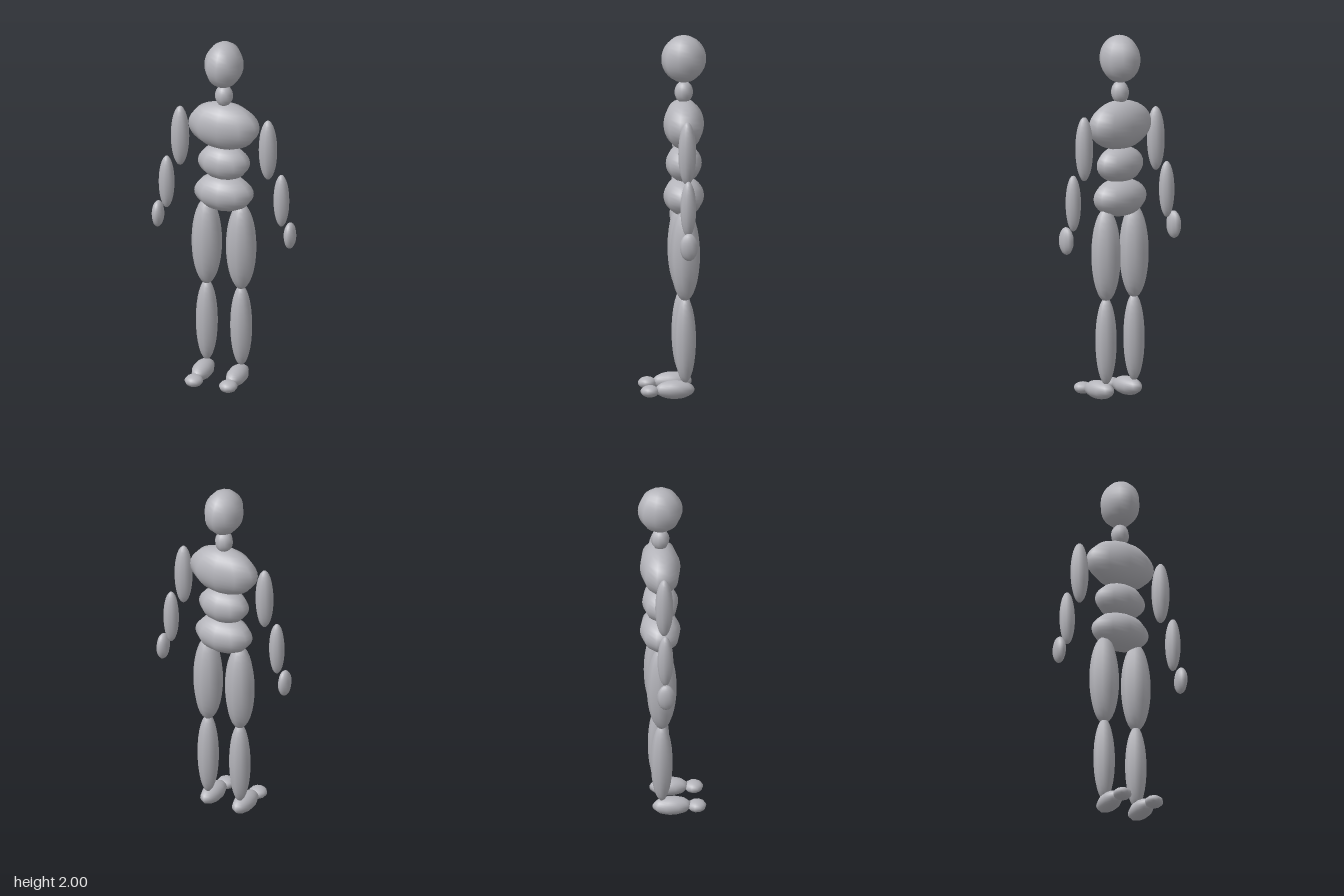
import * as THREE from 'three';

const Z = -0.06; // depth of the body's centre line

export function createModel() {
  const model = new THREE.Group();
  model.name = 'mannequin';
  const grey = new THREE.MeshStandardMaterial({ name: 'pale grey', color: 0xb4b4ba });

  // ten-sided smooth ball with a vertex line facing the front
  const ball = new THREE.SphereGeometry(1, 10, 16, Math.PI / 2);
  ball.scale(1 / Math.cos(Math.PI / 10), 1, 1);

  function ellipsoid(name, x, y, z, rx, ry, rz) {
    const mesh = new THREE.Mesh(ball, grey);
    mesh.name = name;
    mesh.position.set(x, y, z);
    mesh.scale.set(rx, ry, rz);
    model.add(mesh);
  }

  // head and torso
  ellipsoid('head', 0, 1.87, Z, 0.1, 0.13, 0.122);
  ellipsoid('neck', 0, 1.686, Z, 0.047, 0.062, 0.05);
  ellipsoid('chest', 0, 1.507, Z, 0.194, 0.135, 0.11);
  ellipsoid('abdomen', 0, 1.29, Z, 0.14, 0.1, 0.098);
  ellipsoid('pelvis', 0, 1.108, Z, 0.16, 0.104, 0.11);

  // arms and legs, mirrored
  for (const [side, s] of [['left', 1], ['right', -1]]) {
    ellipsoid(side + 'UpperArm', s * 0.256, 1.402, Z, 0.048, 0.176, 0.049);
    ellipsoid(side + 'Forearm', s * 0.334, 1.112, Z, 0.041, 0.154, 0.043);
    ellipsoid(side + 'Hand', s * 0.384, 0.912, Z, 0.031, 0.076, 0.049);
    ellipsoid(side + 'Thigh', s * 0.1, 0.8, Z, 0.079, 0.257, 0.081);
    ellipsoid(side + 'Shin', s * 0.1, 0.327, Z, 0.057, 0.24, 0.059);
    ellipsoid(side + 'Foot', s * 0.1, 0.051, -0.004, 0.052, 0.051, 0.107);
    ellipsoid(side + 'Toes', s * 0.1, 0.044, 0.131, 0.048, 0.033, 0.051);
  }
  return model;
}
